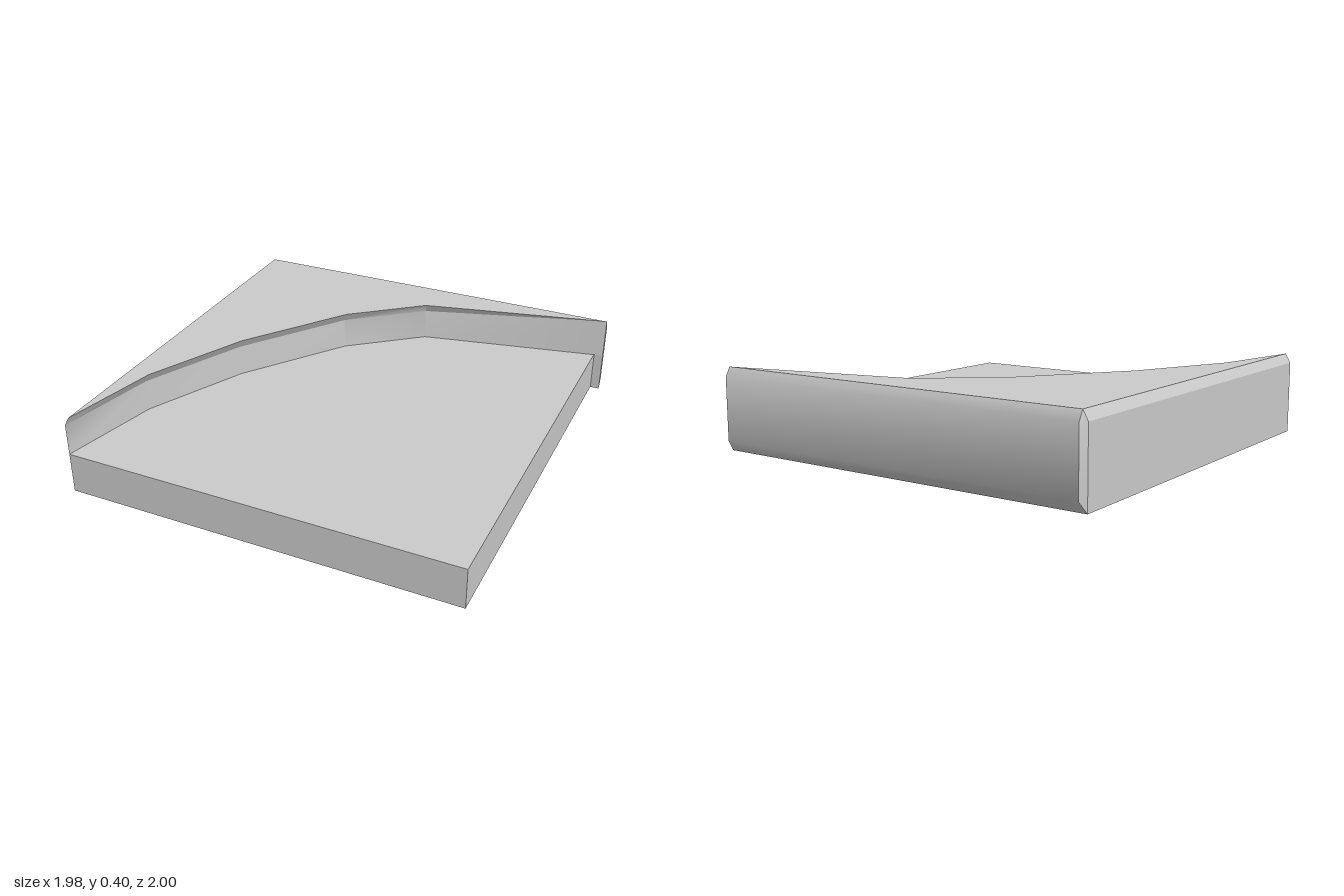
import * as THREE from 'three';
import { toCreasedNormals } from 'three/addons/utils/BufferGeometryUtils.js';

// Stack matching [x, z] rings (counterclockwise from above) into a closed solid.
function loft(name, levels, crease) {
  const pos = [];
  const put = (l, i) => {
    const p = l.ring[i % l.ring.length];
    pos.push(p[0], l.y, p[1]);
  };
  for (let k = 0; k < levels.length - 1; k++) {
    const a = levels[k], b = levels[k + 1];
    for (let i = 0; i < a.ring.length; i++) {
      put(a, i); put(a, i + 1); put(b, i + 1);
      put(a, i); put(b, i + 1); put(b, i);
    }
  }
  const cap = (l, flip) => {
    const outline = l.ring.map(([x, z]) => new THREE.Vector2(x, -z));
    if (Math.abs(THREE.ShapeUtils.area(outline)) < 1e-6) return;
    for (const [a, b, c] of THREE.ShapeUtils.triangulateShape(outline, [])) {
      for (const i of flip ? [a, c, b] : [a, b, c]) put(l, i);
    }
  };
  cap(levels[0], true);
  cap(levels[levels.length - 1], false);
  const geo = new THREE.BufferGeometry();
  geo.setAttribute('position', new THREE.Float32BufferAttribute(pos, 3));
  const mesh = new THREE.Mesh(
    toCreasedNormals(geo, crease),
    new THREE.MeshStandardMaterial({ color: 0xcccccc })
  );
  mesh.name = name;
  return mesh;
}

export function createModel() {
  const group = new THREE.Group();
  group.name = 'corneredStep';
  const L = -0.99, B = -0.975, bevel = 0.025;

  // Lower slab, with a slightly skewed front edge
  const slab = [[L, 0.975], [0.94, 1], [0.94, B], [L, B]];
  group.add(loft('lowerSlab', [{ y: 0, ring: slab }, { y: 0.2, ring: slab }], 0.3));

  // Raised corner: curved riser whose top edge overhangs by one bevel
  const curve = [[-0.965, 0.975], [-0.86, 0.49], [-0.63, 0], [-0.28, -0.49], [0.06, -0.765], [0.985, B]];
  const inset = curve.map(([x, z], i) => {
    const a = curve[Math.max(i - 1, 0)], b = curve[Math.min(i + 1, curve.length - 1)];
    const dx = b[0] - a[0], dz = b[1] - a[1], d = Math.hypot(dx, dz);
    if (i === 0) return [L, z];
    if (i === curve.length - 1) return [x, B];
    return [x + (dz / d) * bevel, z - (dx / d) * bevel];
  });
  const low = [...inset, [L, B]], top = [...curve, [L + bevel, B]];
  group.add(loft('raisedCorner', [
    { y: 0.2, ring: low }, { y: 0.355, ring: low }, { y: 0.4, ring: top },
  ], 0.5));

  // Back panel, bevelled along its top, bottom and outer corner
  const panel = (left, outerLeft, back) => [[left, B], [0.985, B], [0.985, back], [outerLeft, back]];
  group.add(loft('backPanel', [
    { y: 0, ring: panel(L, L, B) },
    { y: 0.05, ring: panel(L, L + bevel, -1) },
    { y: 0.355, ring: panel(L, L + bevel, -1) },
    { y: 0.4, ring: panel(L + bevel, L + bevel, B) },
  ], 0.6));

  return group;
}
